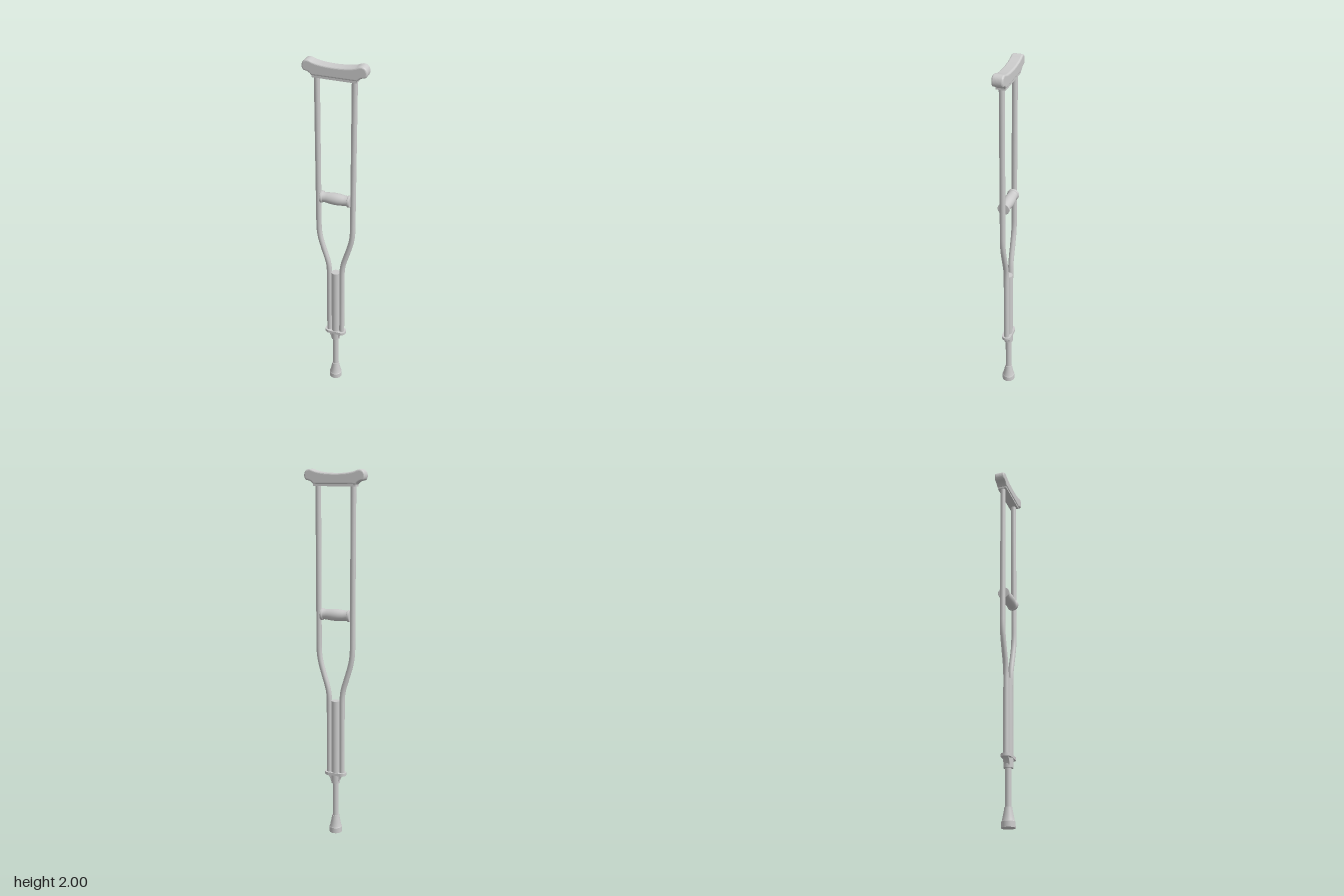
import * as THREE from 'three';

const material = new THREE.MeshStandardMaterial({ color: 0xcccccc });
const V = (x, y) => new THREE.Vector3(x, y, 0);

export function createModel() {
  const model = new THREE.Group();
  const add = (name, geometry, x = 0, y = 0, z = 0) => {
    const mesh = new THREE.Mesh(geometry, material);
    mesh.name = name;
    mesh.position.set(x, y, z);
    model.add(mesh);
    return mesh;
  };
  const lathe = (points, segments = 32) =>
    new THREE.LatheGeometry(points.map(([r, y]) => new THREE.Vector2(r, y)), segments);
  // Extrusion centred on z with rounded edges kept inside the outline
  const slab = (shape, width, bevel) => new THREE.ExtrudeGeometry(shape, {
    depth: width - 2 * bevel, bevelThickness: bevel, bevelSize: bevel, bevelOffset: -bevel,
    bevelSegments: 5, curveSegments: 16,
  }).translate(0, 0, bevel - width / 2);

  // Underarm pad: sagging top with rounded, raised ends
  const pad = new THREE.Shape();
  pad.moveTo(-0.115, 1.925);
  pad.lineTo(0.115, 1.925);
  pad.quadraticCurveTo(0.128, 1.942, 0.148, 1.944);
  pad.bezierCurveTo(0.168, 1.946, 0.168, 1.985, 0.15, 1.995);
  pad.bezierCurveTo(0.138, 2.003, 0.125, 2.0, 0.11, 1.993);
  pad.bezierCurveTo(0.06, 1.976, -0.06, 1.976, -0.11, 1.993);
  pad.bezierCurveTo(-0.125, 2.0, -0.138, 2.003, -0.15, 1.995);
  pad.bezierCurveTo(-0.168, 1.985, -0.168, 1.946, -0.148, 1.944);
  pad.quadraticCurveTo(-0.128, 1.942, -0.115, 1.925);
  add('underarmPad', slab(pad, 0.058, 0.009));
  add('padBase', new THREE.BoxGeometry(0.226, 0.016, 0.05), 0, 1.923, 0);

  // Bent side tubes
  for (const s of [1, -1]) {
    const path = new THREE.CurvePath();
    path.add(new THREE.LineCurve3(V(s * 0.095, 1.925), V(s * 0.095, 1.08)));
    path.add(new THREE.CubicBezierCurve3(V(s * 0.095, 1.08), V(s * 0.095, 1.01), V(s * 0.085, 0.98), V(s * 0.066, 0.915)));
    path.add(new THREE.CubicBezierCurve3(V(s * 0.066, 0.915), V(s * 0.046, 0.85), V(s * 0.037, 0.83), V(s * 0.037, 0.76)));
    path.add(new THREE.LineCurve3(V(s * 0.037, 0.76), V(s * 0.037, 0.35)));
    add(s > 0 ? 'leftTube' : 'rightTube', new THREE.TubeGeometry(path, 120, 0.0145, 20));
  }

  // Hand grip with a swollen middle and end flanges
  const grip = [
    [0, -0.082], [0.03, -0.082], [0.032, -0.08], [0.032, -0.07], [0.03, -0.068], [0.026, -0.066],
    [0.028, -0.045], [0.031, -0.02], [0.0315, 0],
  ];
  const gripProfile = [...grip, ...grip.slice(0, -1).reverse().map(([r, y]) => [r, -y])];
  add('handGrip', lathe(gripProfile), 0, 1.25, 0).rotation.z = Math.PI / 2;

  // Centre sleeve and telescoping lower leg
  add('centreSleeve', new THREE.CylinderGeometry(0.023, 0.023, 0.425, 32), 0, 0.5625, 0);
  add('lowerLeg', new THREE.CylinderGeometry(0.0165, 0.0165, 0.32, 32), 0, 0.2, 0);

  // Clamp: rounded flange carrying the tubes, flared web and collar below
  const flange = new THREE.Shape();
  flange.absarc(0.034, 0, 0.027, -Math.PI / 2, Math.PI / 2);
  flange.absarc(-0.034, 0, 0.027, Math.PI / 2, Math.PI * 1.5);
  add('clampFlange', new THREE.ExtrudeGeometry(flange, { depth: 0.016, bevelEnabled: false, curveSegments: 20 })
    .rotateX(-Math.PI / 2), 0, 0.345, 0);
  const web = new THREE.Shape();
  web.moveTo(-0.05, 0.346);
  web.quadraticCurveTo(-0.028, 0.335, -0.023, 0.308);
  web.lineTo(0.023, 0.308);
  web.quadraticCurveTo(0.028, 0.335, 0.05, 0.346);
  web.closePath();
  add('clampWeb', slab(web, 0.03, 0.002));
  add('clampCollar', new THREE.CylinderGeometry(0.026, 0.025, 0.05, 32), 0, 0.322, 0);

  // Rubber foot: flat base, short rim and flared neck
  add('rubberTip', lathe([
    [0, 0], [0.036, 0], [0.036, 0], [0.0355, 0.03], [0.0355, 0.03], [0.032, 0.034],
    [0.027, 0.06], [0.022, 0.085], [0.02, 0.1], [0.02, 0.1], [0.015, 0.1],
  ]));

  return model;
}
